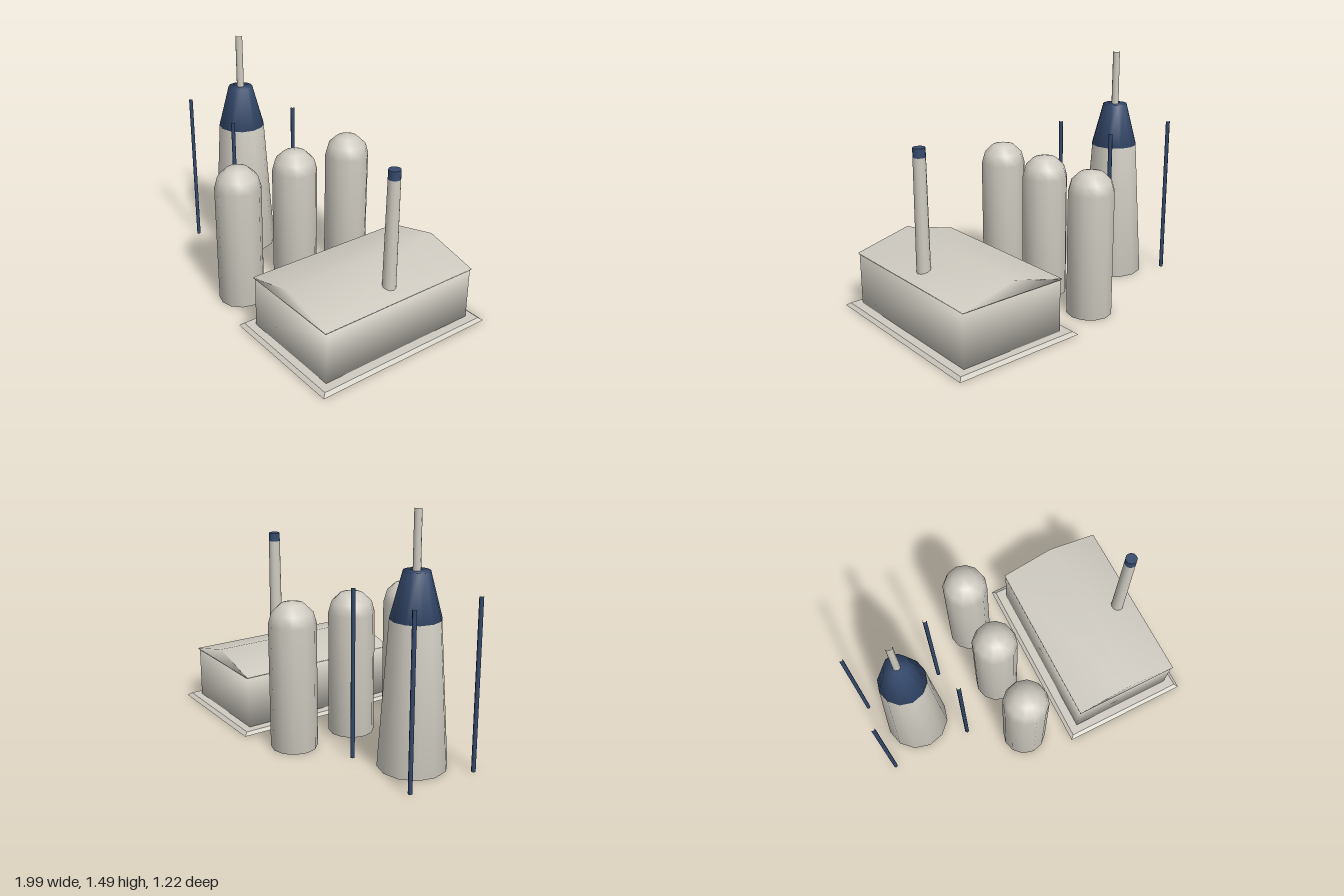
import * as THREE from 'three';
import { mergeVertices } from 'three/addons/utils/BufferGeometryUtils.js';

// Share vertices so that shading runs smoothly over every edge of a part
function smooth(geometry) {
  geometry.deleteAttribute('normal');
  geometry.deleteAttribute('uv');
  const merged = mergeVertices(geometry, 1e-4);
  merged.computeVertexNormals();
  return merged;
}

// Rectangular frame: square rings [halfX, y, halfZ] joined in a closed loop
function frameGeometry(rings) {
  const pos = [], index = [], n = rings.length;
  for (const [hx, y, hz] of rings) {
    pos.push(-hx, y, hz, hx, y, hz, hx, y, -hz, -hx, y, -hz);
  }
  for (let r = 0; r < n; r++) {
    for (let i = 0; i < 4; i++) {
      const j = (i + 1) % 4, a = r * 4, b = ((r + 1) % n) * 4;
      index.push(a + i, a + j, b + j, a + i, b + j, b + i);
    }
  }
  const g = new THREE.BufferGeometry();
  g.setAttribute('position', new THREE.Float32BufferAttribute(pos, 3));
  g.setIndex(index);
  const flat = g.toNonIndexed();
  flat.computeVertexNormals();
  return flat;
}

export function createModel() {
  const model = new THREE.Group();
  model.name = 'industrialPlant';

  const grey = new THREE.MeshStandardMaterial({ color: 0xcfcbc1 });
  grey.name = 'pale concrete';
  const blue = new THREE.MeshStandardMaterial({ color: 0x354a6d });
  blue.name = 'navy paint';

  const add = (parent, name, geometry, material, x = 0, y = 0, z = 0) => {
    const mesh = new THREE.Mesh(geometry, material);
    mesh.name = name;
    mesh.position.set(x, y, z);
    parent.add(mesh);
    return mesh;
  };
  // Upright tapered cylinder standing between heights y0 and y1
  const column = (rTop, rBottom, y0, y1, sides, open = false) =>
    new THREE.CylinderGeometry(rTop, rBottom, y1 - y0, sides, 1, open).translate(0, (y0 + y1) / 2, 0);
  const group = (name, x) => {
    const g = new THREE.Group();
    g.name = name;
    g.position.x = x;
    model.add(g);
    return g;
  };

  // Tapered tower with painted cap, mast and four corner rods
  const tower = group('tower', -0.718);
  add(tower, 'towerBody', smooth(column(0.148, 0.206, 0, 0.88, 12)), grey);
  add(tower, 'towerCap', smooth(column(0.078, 0.149, 0.88, 1.15, 12)), blue);
  add(tower, 'mast', column(0.022, 0.023, 1.14, 1.49, 10, true), grey);
  const rod = column(0.0135, 0.0135, 0, 1.03, 6, true);
  for (const x of [-0.267, 0.267]) {
    for (const z of [-0.23, 0.23]) add(tower, 'cornerRod', rod, blue, x, 0, z);
  }

  // Row of three dome-topped tanks
  const tanks = group('tanks', -0.11);
  const profile = [new THREE.Vector2(0, 0), new THREE.Vector2(0.142, 0)];
  for (let i = 0; i <= 3; i++) {
    const a = (i / 3) * Math.PI / 2;
    profile.push(new THREE.Vector2(i === 3 ? 0 : 0.142 * Math.cos(a), 0.77 + 0.137 * Math.sin(a)));
  }
  const tank = smooth(new THREE.LatheGeometry(profile, 12));
  for (const z of [-0.42, 0, 0.42]) add(tanks, 'tank', tank, grey, 0, 0, z);

  // Long hall with a low gable roof on a bevelled footing
  const hall = group('hall', 0.578);
  const footing = frameGeometry([
    [0.42, 0, 0.612], [0.398, 0.018, 0.588], [0.338, 0.018, 0.533], [0.355, 0, 0.548],
  ]);
  add(hall, 'footing', footing, grey);
  add(hall, 'walls', smooth(new THREE.BoxGeometry(0.686, 0.34, 1.076)), grey, 0, 0.18, 0);

  const gable = new THREE.Shape();
  gable.moveTo(-0.346, 0.346);
  gable.lineTo(0.346, 0.346);
  gable.lineTo(0.346, 0.352);
  gable.lineTo(0, 0.44);
  gable.lineTo(-0.346, 0.352);
  gable.closePath();
  const roof = new THREE.ExtrudeGeometry(gable, { depth: 1.094, bevelEnabled: false });
  roof.translate(0, 0, -0.547);
  add(hall, 'roof', smooth(roof), grey);

  // Chimney rising through the right-hand roof slope
  const chimney = group('chimney', 0.805);
  add(chimney, 'chimneyStack', column(0.037, 0.042, 0.35, 1.055, 12, true), grey);
  add(chimney, 'chimneyCap', column(0.0365, 0.037, 1.055, 1.11, 12), blue);

  return model;
}
